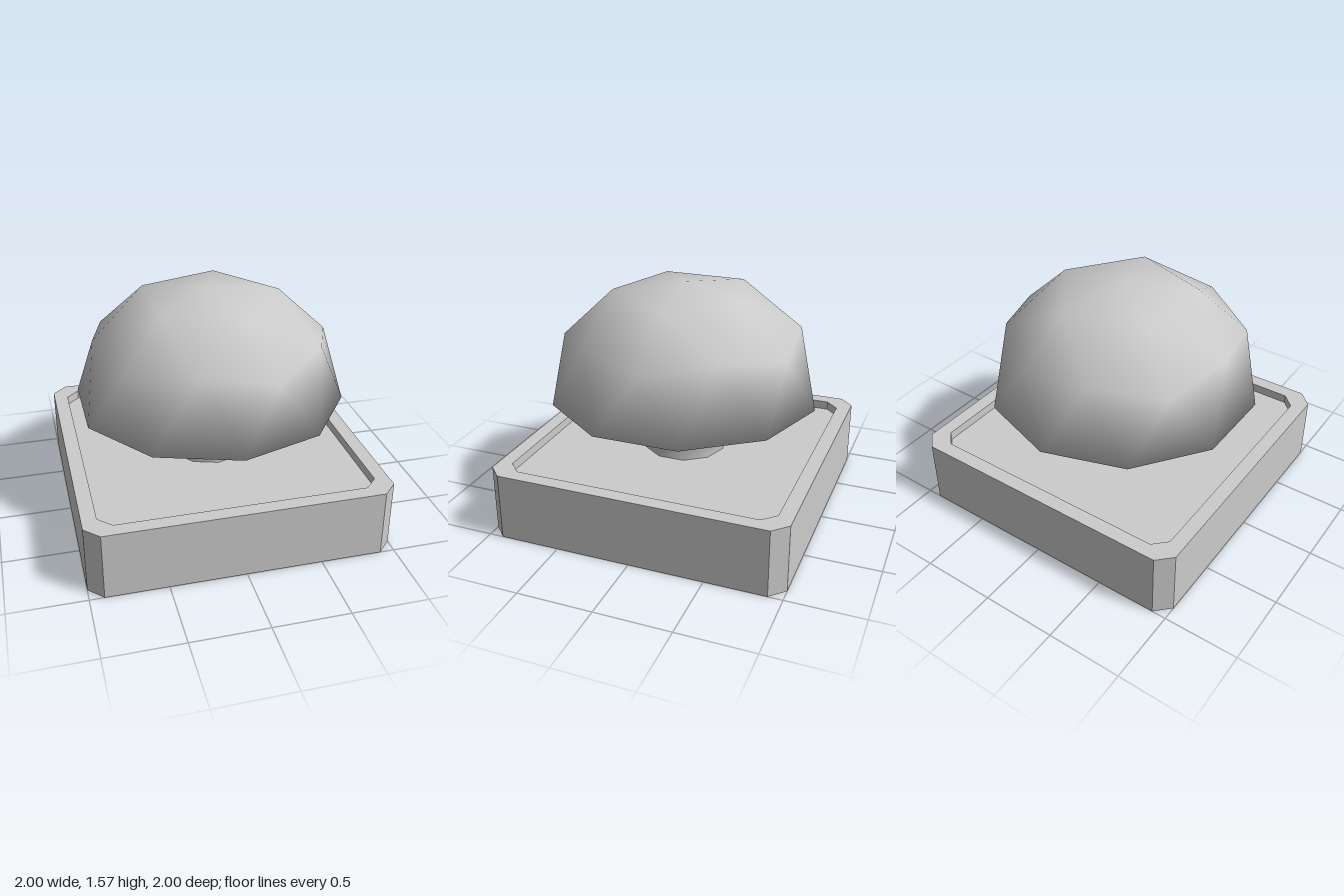
import * as THREE from 'three';

// Builds an indexed geometry from corner points and triangle indices
function meshGeometry(points, faces) {
  const geo = new THREE.BufferGeometry();
  geo.setAttribute('position', new THREE.Float32BufferAttribute(points.flat(), 3));
  geo.setIndex(faces.flat());
  geo.computeVertexNormals();
  return geo;
}

// Adds quads between two rings of n points, starting at indices a and b
function bridge(faces, a, b, n) {
  for (let i = 0; i < n; i++) {
    const j = (i + 1) % n;
    faces.push([a + i, a + j, b + j], [a + i, b + j, b + i]);
  }
}

// Open-bottomed tray: outer wall, flat rim, inner wall and recessed floor
function baseGeometry() {
  const c = 0.905;
  const outline = [[1, -c], [c, -1], [-c, -1], [-1, -c], [-1, c], [-c, 1], [c, 1], [1, c]];
  const sections = [[1, 0], [1, 0.455], [0.903, 0.455], [0.903, 0.395]];
  const points = [], faces = [];
  for (const [s, y] of sections) for (const [x, z] of outline) points.push([x * s, y, z * s]);
  for (let k = 0; k < 3; k++) bridge(faces, k * 8, k * 8 + 8, 8);
  points.push([0, 0.395, 0]);
  for (let i = 0; i < 8; i++) faces.push([24 + i, 24 + (i + 1) % 8, 32]);
  return meshGeometry(points, faces);
}

// Stem, underside and faceted dome as one smooth surface
function buttonGeometry() {
  const points = [], faces = [];
  const add = (r, y, deg) => {
    const a = THREE.MathUtils.degToRad(deg);
    points.push([r * Math.cos(a), y, -r * Math.sin(a)]);
  };
  // stem bottom, stem top, dome rim
  for (const [r, y] of [[0.283, 0.38], [0.283, 0.785], [0.91, 0.785]]) {
    for (let i = 0; i < 10; i++) add(r, y, 18 + 36 * i);
  }
  // shoulder ring alternates between two heights
  for (let i = 0; i < 10; i++) {
    if (i % 2) add(0.774, 1.264, 36 * i);
    else add(0.814, 1.192, 36 * i);
  }
  // crown ring and top point
  for (let i = 0; i < 5; i++) add(0.479, 1.505, 72 * i);
  add(0, 1.565, 0);

  bridge(faces, 0, 10, 10);
  bridge(faces, 10, 20, 10);
  const rim = (i) => 20 + i % 10;
  const shoulder = (i) => 30 + (i + 10) % 10;
  const crown = (i) => 40 + i % 5;
  for (let i = 0; i < 10; i++) {
    faces.push([rim(i), shoulder(i + 1), shoulder(i)], [rim(i), rim(i + 1), shoulder(i + 1)]);
  }
  for (let k = 0; k < 5; k++) {
    faces.push(
      [shoulder(2 * k - 1), shoulder(2 * k), crown(k)],
      [shoulder(2 * k), shoulder(2 * k + 1), crown(k)],
      [crown(k), shoulder(2 * k + 1), crown(k + 1)],
      [crown(k), crown(k + 1), 45]
    );
  }
  return meshGeometry(points, faces);
}

export function createModel() {
  const group = new THREE.Group();
  const part = (name, geo, flatShading) => {
    const material = new THREE.MeshStandardMaterial({
      color: 0xcccccc, side: THREE.DoubleSide, flatShading
    });
    const mesh = new THREE.Mesh(geo, material);
    mesh.name = name;
    group.add(mesh);
  };
  part('base', baseGeometry().toNonIndexed(), true);
  part('mushroomButton', buttonGeometry(), false);
  return group;
}
